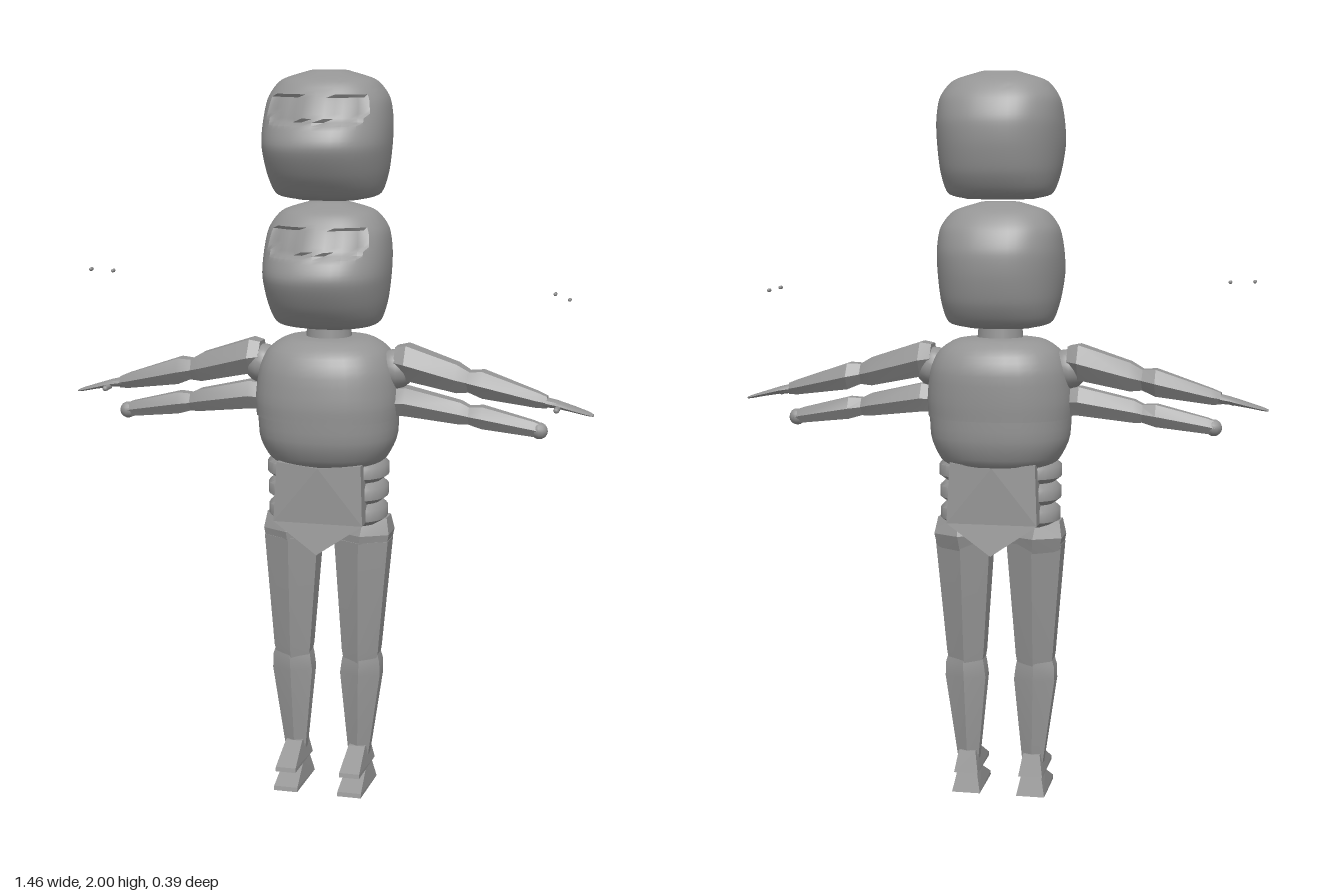
import * as THREE from 'three';
import { toCreasedNormals } from 'three/addons/utils/BufferGeometryUtils.js';

const grey = new THREE.MeshStandardMaterial({ color: 0x959595 });
grey.name = 'grey';

// Skin a body from rows [along, centre, half width, front z, back z].
// Rows run up the y axis, or out along x when sideways is set.
function loft(rows, { sides = 6, power = 2, sideways = false, mirror = 1, turn = 0, crease = 0.5, shape } = {}) {
  const pos = [], idx = [];
  const flip = sideways !== (mirror < 0);
  const put = (along, across, z) => {
    const p = sideways ? new THREE.Vector3(along, across, z) : new THREE.Vector3(across, along, z);
    p.x *= mirror;
    if (shape) shape(p);
    pos.push(p.x, p.y, p.z);
  };
  const tri = (a, b, c) => (flip ? idx.push(a, c, b) : idx.push(a, b, c));
  const soft = (v) => Math.sign(v) * Math.pow(Math.abs(v), 2 / power);
  for (const [along, centre, half, front, back] of rows) {
    for (let j = 0; j < sides; j++) {
      const t = ((j + turn) / sides) * Math.PI * 2;
      put(along, centre + half * soft(Math.cos(t)), (front + back) / 2 + ((front - back) / 2) * soft(Math.sin(t)));
    }
  }
  const last = rows.length - 1;
  for (let i = 0; i < last; i++) {
    for (let j = 0; j < sides; j++) {
      const a = i * sides + j, b = i * sides + ((j + 1) % sides);
      tri(a, a + sides, b);
      tri(b, a + sides, b + sides);
    }
  }
  // end caps
  for (const i of [0, last]) {
    const [along, centre, , front, back] = rows[i];
    const mid = pos.length / 3;
    put(along, centre, (front + back) / 2);
    for (let j = 0; j < sides; j++) {
      const a = i * sides + j, b = i * sides + ((j + 1) % sides);
      if (i === 0) tri(mid, a, b);
      else tri(mid, b, a);
    }
  }
  const g = new THREE.BufferGeometry();
  g.setAttribute('position', new THREE.Float32BufferAttribute(pos, 3));
  g.setIndex(idx);
  return toCreasedNormals(g, crease);
}

// Fill in smooth rows between a few key rows
function smoothRows(rows, steps) {
  const tracks = [0, 1, 2, 3, 4].map((k) => new THREE.CatmullRomCurve3(
    rows.map((r, i) => new THREE.Vector3(r[k], i, 0)), false, 'catmullrom', 0.4));
  return Array.from({ length: steps + 1 }, (_, i) => tracks.map((c) => c.getPoint(i / steps).x));
}

function add(parent, name, geometry) {
  const m = new THREE.Mesh(geometry, grey);
  m.name = name;
  parent.add(m);
  return m;
}

function makeHead(y0) {
  const rows = smoothRows([
    [0, 0, 0.09, 0.06, -0.09], [0.015, 0, 0.14, 0.115, -0.14], [0.07, 0, 0.16, 0.165, -0.175],
    [0.145, 0, 0.17, 0.2, -0.192], [0.21, 0, 0.17, 0.175, -0.192], [0.27, 0, 0.16, 0.135, -0.168],
    [0.315, 0, 0.125, 0.095, -0.125], [0.34, 0, 0.05, 0.03, -0.06],
  ], 40);
  // sunken eye sockets
  const shape = (p) => {
    const x = Math.abs(p.x);
    if (p.z > 0.05 && x > 0.03 && x < 0.125 && p.y > 0.205 && p.y < 0.275) p.z -= 0.012;
    p.y += y0;
  };
  return loft(rows, { sides: 48, power: 2.35, crease: 0.6, shape });
}

function makeLeg(parent, s) {
  const leg = new THREE.Group();
  leg.name = s > 0 ? 'leftLeg' : 'rightLeg';
  parent.add(leg);
  const opt = { mirror: s, sides: 6, turn: 0.5, crease: 0.3 };
  add(leg, 'hip', loft([[0.69, 0.1, 0.08, 0.055, -0.08], [0.74, 0.105, 0.085, 0.062, -0.095],
    [0.785, 0.11, 0.07, 0.04, -0.07]], opt));
  add(leg, 'thigh', loft([[0.35, 0.097, 0.05, 0.042, -0.045], [0.4, 0.098, 0.06, 0.048, -0.052],
    [0.72, 0.1, 0.088, 0.06, -0.085]], opt));
  add(leg, 'shin', loft([[0.08, 0.092, 0.032, 0.026, -0.032], [0.33, 0.098, 0.066, 0.045, -0.05],
    [0.37, 0.1, 0.062, 0.045, -0.05], [0.44, 0.098, 0.04, 0.03, -0.035]], opt));
  // upper and lower foot wedges
  for (const [name, y, w, top] of [['upperFoot', 0.057, 0.034, 0.06], ['lowerFoot', 0, 0.04, 0.058]]) {
    const profile = new THREE.Shape([[-0.052, 0], [0.125, 0], [0.122, 0.012], [0.03, top], [-0.035, top]]
      .map(([z, h]) => new THREE.Vector2(z, h)));
    const g = new THREE.ExtrudeGeometry(profile, { depth: w * 2, bevelEnabled: false });
    g.translate(0, 0, -w).rotateY(-Math.PI / 2);
    // narrow the instep and toe
    const p = g.attributes.position;
    for (let i = 0; i < p.count; i++) {
      if (p.getY(i) > top * 0.8) p.setX(i, p.getX(i) * 0.7);
      if (p.getZ(i) > 0.1) p.setX(i, p.getX(i) * 0.85);
    }
    g.translate(s * 0.092, y, 0);
    g.computeVertexNormals();
    add(leg, name, g);
  }
}

function makeArms(parent, s) {
  const arms = new THREE.Group();
  arms.name = s > 0 ? 'leftArms' : 'rightArms';
  parent.add(arms);
  const opt = { mirror: s, sideways: true, sides: 6, turn: 0.5, crease: 0.3 };
  const put = (name, rows, extra) => add(arms, name, loft(rows, { ...opt, ...extra }));
  // upper pair, ending in a hand
  put('upperArm', [[0.19, 1.225, 0.045, 0.035, -0.06], [0.22, 1.222, 0.055, 0.048, -0.078],
    [0.36, 1.185, 0.045, 0.037, -0.06], [0.4, 1.175, 0.03, 0.025, -0.045]]);
  put('forearm', [[0.385, 1.178, 0.03, 0.028, -0.045], [0.43, 1.17, 0.042, 0.033, -0.062],
    [0.58, 1.135, 0.024, 0.018, -0.04], [0.605, 1.13, 0.018, 0.012, -0.03]]);
  put('hand', [[0.595, 1.13, 0.014, 0.012, -0.03], [0.63, 1.125, 0.011, 0.016, -0.036],
    [0.68, 1.113, 0.007, 0.02, -0.036], [0.715, 1.104, 0.005, 0.016, -0.026], [0.73, 1.1, 0.003, 0.008, -0.014]],
  { sides: 10, crease: 0.8 });
  const thumb = new THREE.CapsuleGeometry(0.008, 0.035, 3, 8);
  thumb.rotateX(Math.PI / 2).translate(s * 0.635, 1.117, 0.022);
  add(arms, 'thumb', thumb);
  // lower pair, ending in a rounded stub
  put('lowerUpperArm', [[0.18, 1.112, 0.042, 0.035, -0.045], [0.22, 1.115, 0.045, 0.04, -0.055],
    [0.37, 1.09, 0.035, 0.03, -0.045], [0.4, 1.083, 0.026, 0.022, -0.036]]);
  put('lowerForearm', [[0.385, 1.085, 0.026, 0.022, -0.036], [0.43, 1.08, 0.035, 0.028, -0.046],
    [0.57, 1.055, 0.024, 0.015, -0.034], [0.59, 1.05, 0.021, 0.012, -0.03]]);
  const stub = new THREE.SphereGeometry(0.023, 12, 8);
  add(arms, 'stub', stub).position.set(s * 0.585, 1.05, -0.008);
  add(arms, 'shoulder', new THREE.SphereGeometry(0.055, 14, 10)).position.set(s * 0.185, 1.2, -0.012);
}

export function createModel() {
  const model = new THREE.Group();
  model.name = 'figure';

  // stacked heads and neck
  add(model, 'upperHead', makeHead(1.66));
  add(model, 'lowerHead', makeHead(1.313));
  add(model, 'neck', new THREE.CylinderGeometry(0.058, 0.065, 0.09, 20)).position.set(0, 1.3, -0.015);

  // chest
  add(model, 'chest', loft(smoothRows([
    [1.07, 0, 0.198, 0.16, -0.178], [1.12, 0, 0.2, 0.162, -0.182], [1.2, 0, 0.19, 0.152, -0.182],
    [1.25, 0, 0.165, 0.128, -0.16], [1.28, 0, 0.12, 0.085, -0.12], [1.287, 0, 0.05, 0.04, -0.07],
  ], 16), { sides: 32, power: 2.3, crease: 0.7 }));
  add(model, 'ribs', loft(smoothRows([
    [0.935, 0, 0.14, 0.1, -0.13], [0.955, 0, 0.165, 0.125, -0.152],
    [1.01, 0, 0.19, 0.15, -0.172], [1.1, 0, 0.195, 0.157, -0.177],
  ], 10), { sides: 32, power: 2.3, crease: 0.7 }));

  // rolled waist
  for (let i = 0; i < 3; i++) {
    const y = 0.77 + i * 0.06, w = 0.166 + i * 0.002;
    add(model, 'waistRoll', loft([
      [y, 0, w - 0.02, 0.08, -0.1], [y + 0.015, 0, w, 0.1, -0.12],
      [y + 0.045, 0, w, 0.1, -0.12], [y + 0.062, 0, w - 0.018, 0.08, -0.1],
    ], { sides: 28, power: 2.4, crease: 0.9 }));
  }

  // pointed hip guard, flaring toward the bottom and ridged along the middle
  const outline = new THREE.Shape([[-0.118, 0.95], [-0.125, 0.785], [0, 0.7], [0.125, 0.785], [0.118, 0.95], [0, 0.94]]
    .map(([x, y]) => new THREE.Vector2(x, y)));
  const guard = new THREE.ExtrudeGeometry(outline, { depth: 1, bevelEnabled: false });
  const p = guard.attributes.position;
  for (let i = 0; i < p.count; i++) {
    const flare = (0.95 - p.getY(i)) * 0.06 - Math.abs(p.getX(i)) * 0.08;
    p.setZ(i, p.getZ(i) > 0.5 ? 0.117 + flare : -0.137 - flare);
  }
  guard.computeVertexNormals();
  add(model, 'hipGuard', guard);

  for (const s of [1, -1]) {
    makeLeg(model, s);
    makeArms(model, s);
  }

  // small floating chips above the hands
  for (const [x, y, z] of [[0.613, 1.415, -0.055], [0.655, 1.405, -0.03], [-0.69, 1.445, -0.02], [-0.625, 1.443, -0.02]]) {
    const chip = add(model, 'floatingChip', new THREE.CapsuleGeometry(0.005, 0.012, 2, 6));
    chip.position.set(x, y, z);
    chip.rotation.x = Math.PI / 2;
  }
  return model;
}
